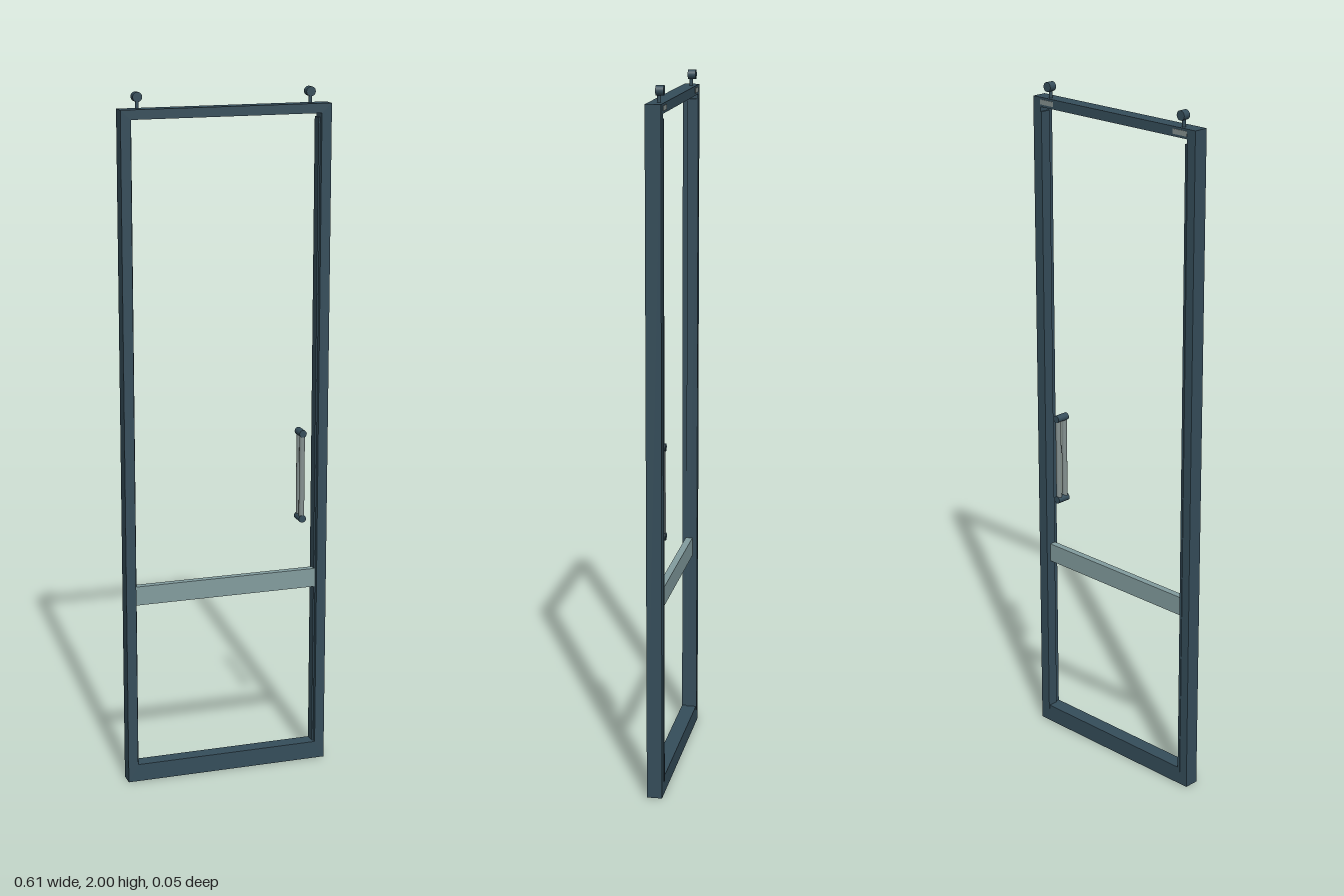
import * as THREE from 'three';

export function createModel() {
  const model = new THREE.Group();
  model.name = 'slidingDoor';

  const material = (name, color) => {
    const m = new THREE.MeshStandardMaterial({ color });
    m.name = name;
    return m;
  };
  const frameMat = material('slate frame', 0x354d5a);
  const bandMat = material('pale band', 0x829c9e);
  const metalMat = material('grey metal', 0x84908f);

  const add = (name, geometry, mat, x, y, z, parent = model) => {
    const mesh = new THREE.Mesh(geometry, mat);
    mesh.name = name;
    mesh.position.set(x, y, z);
    parent.add(mesh);
    return mesh;
  };
  // Box given by its limits on each axis
  const box = (name, mat, x0, x1, y0, y1, z0, z1) =>
    add(name, new THREE.BoxGeometry(x1 - x0, y1 - y0, z1 - z0), mat,
      (x0 + x1) / 2, (y0 + y1) / 2, (z0 + z1) / 2);

  // Outer frame: one rectangle with its opening cut out
  const outline = new THREE.Shape();
  outline.moveTo(-0.304, 0).lineTo(0.304, 0).lineTo(0.304, 1.955).lineTo(-0.304, 1.955).closePath();
  const opening = new THREE.Path();
  opening.moveTo(-0.275, 0.052).lineTo(-0.275, 1.928).lineTo(0.275, 1.928).lineTo(0.275, 0.052).closePath();
  outline.holes.push(opening);
  const frame = new THREE.ExtrudeGeometry(outline, { depth: 0.0435, bevelEnabled: false });
  add('frame', frame, frameMat, 0, 0, -0.022);

  // Horizontal band across the opening
  box('crossBand', bandMat, -0.274, 0.274, 0.54, 0.596, -0.01, 0.01);

  for (const side of [-1, 1]) {
    // Glazing bead along the inner edge of each upright
    const bead = box('glazingBead', frameMat, -0.0035, 0.0035, 0.04, 1.915, -0.024, 0.008);
    bead.position.x = side * 0.274;

    // Roller hanger on the top rail
    const hanger = new THREE.Group();
    hanger.name = 'rollerHanger';
    hanger.position.x = side * 0.25;
    model.add(hanger);
    add('stem', new THREE.CylinderGeometry(0.005, 0.005, 0.04, 12), frameMat, 0, 1.97, -0.007, hanger);
    const wheel = new THREE.CylinderGeometry(0.0135, 0.0135, 0.022, 24).rotateX(Math.PI / 2);
    add('rollerWheel', wheel, frameMat, 0, 1.9865, -0.01, hanger);
    add('hangerPlate', new THREE.BoxGeometry(0.05, 0.014, 0.002), metalMat, 0, 1.942, -0.0225, hanger);
  }

  // Pull handle: a bar on each face joined by through-posts
  const handle = new THREE.Group();
  handle.name = 'pullHandle';
  handle.position.set(0.229, 0.883, 0);
  model.add(handle);
  for (const z of [-0.012, 0.012]) {
    add('handleBar', new THREE.CylinderGeometry(0.008, 0.008, 0.25, 16), metalMat, 0, 0, z, handle);
  }
  for (const y of [-0.128, 0.128]) {
    const post = new THREE.CylinderGeometry(0.011, 0.011, 0.042, 20).rotateX(Math.PI / 2);
    add('handlePost', post, frameMat, 0, y, 0, handle);
  }

  return model;
}
